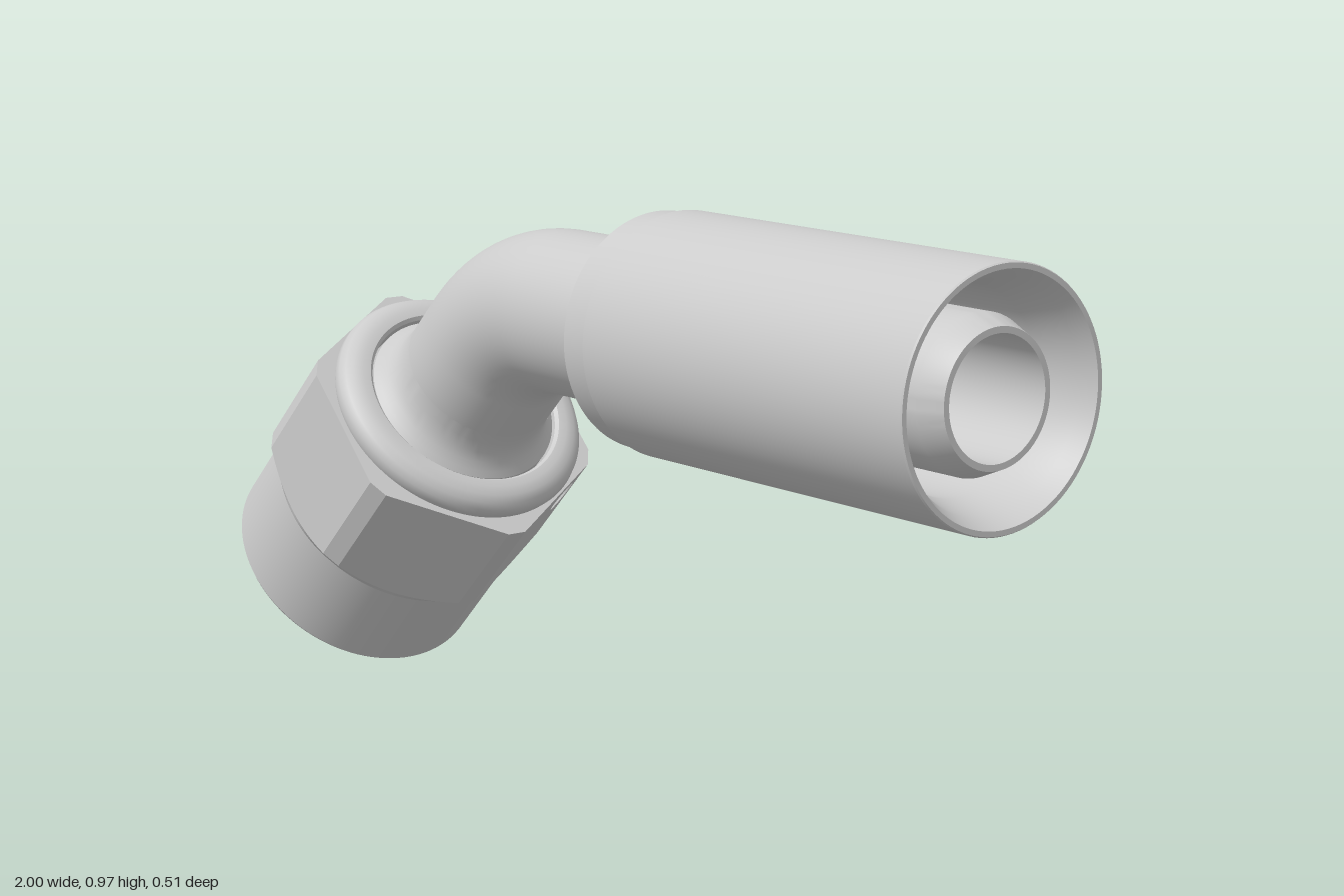
import * as THREE from 'three';
import { toCreasedNormals } from 'three/addons/utils/BufferGeometryUtils.js';

const grey = new THREE.MeshStandardMaterial({ color: 0xcccccc, side: THREE.DoubleSide });
const inside = new THREE.MeshStandardMaterial({ color: 0xcccccc, side: THREE.BackSide });
const deg = Math.PI / 180;

function part(name, geometry, material = grey) {
  const mesh = new THREE.Mesh(geometry, material);
  mesh.name = name;
  return mesh;
}

// Surface of revolution from [radius, height] pairs, sharp edges kept
function turned(name, profile, segments = 96) {
  const points = profile.map(([r, y]) => new THREE.Vector2(r, y));
  return part(name, toCreasedNormals(new THREE.LatheGeometry(points, segments), 0.5));
}

// Nut frame: origin at its open end, axis rising at 45 degrees
const nutOrigin = new THREE.Vector3(-0.8225, 0.1775, 0);
const onNutAxis = (s) => nutOrigin.clone().add(new THREE.Vector3(s, s, 0).multiplyScalar(Math.SQRT1_2));

// Centre line of the elbow: straight, 45 degree bend, straight
function elbowPath(nutEnd, hoseEnd) {
  const y = 0.757, bendStart = onNutAxis(0.696), bendEnd = new THREE.Vector3(-0.119, y, 0);
  const handle = 0.0796;
  const path = new THREE.CurvePath();
  path.add(new THREE.LineCurve3(onNutAxis(nutEnd), bendStart));
  path.add(new THREE.CubicBezierCurve3(
    bendStart, onNutAxis(0.696 + handle), new THREE.Vector3(bendEnd.x - handle, y, 0), bendEnd));
  path.add(new THREE.LineCurve3(bendEnd, new THREE.Vector3(hoseEnd, y, 0)));
  return path;
}

// Hexagon with truncated corners, wavy lower chamfer and a small drilled hole
const apothem = 0.254, cornerR = 0.283, hexTop = 0.48;
const halfFlat = Math.acos(apothem / cornerR);
const lowerEdge = (r) => 0.22 + (r - apothem) * 0.95;

function hexSection() {
  const group = new THREE.Group();
  group.name = 'nutHexagon';
  const steps = 16, columns = [];
  for (let k = 0; k <= 6; k++) {
    for (let i = 0; i <= steps; i++) {
      const a = halfFlat * (2 * i / steps - 1);
      columns.push({ angle: (30 + 60 * k) * deg + a, r: apothem / Math.cos(a), flat: k, last: i === steps });
    }
  }
  columns.length = 6 * (steps + 1) + 1;
  const at = (c, r, y) => [r * Math.cos(c.angle), y, -r * Math.sin(c.angle)];
  const rows = (c) => [at(c, 0.25, 0.208), at(c, c.r, lowerEdge(c.r)), at(c, c.r, hexTop), at(c, 0.235, hexTop)];
  const positions = [];
  for (let i = 0; i < columns.length - 1; i++) {
    const p = rows(columns[i]), q = rows(columns[i + 1]);
    for (let j = 0; j < 3; j++) {
      // the drilled flat is made separately below
      if (j === 1 && columns[i].flat === 0 && !columns[i].last) continue;
      positions.push(...p[j], ...q[j], ...q[j + 1], ...p[j], ...q[j + 1], ...p[j + 1]);
    }
  }
  const geometry = new THREE.BufferGeometry();
  geometry.setAttribute('position', new THREE.Float32BufferAttribute(positions, 3));
  group.add(part('hexagonFaces', toCreasedNormals(geometry, 0.25)));

  // Flat with the hole
  const outline = [];
  for (let i = 0; i <= steps; i++) {
    const a = halfFlat * (2 * i / steps - 1);
    outline.push(new THREE.Vector2(apothem * Math.tan(a), lowerEdge(apothem / Math.cos(a))));
  }
  const w = apothem * Math.tan(halfFlat);
  outline.push(new THREE.Vector2(w, hexTop), new THREE.Vector2(-w, hexTop));
  const shape = new THREE.Shape(outline);
  const holeX = 0.073, holeY = 0.42, holeR = 0.035;
  shape.holes.push(new THREE.Path().absarc(holeX, holeY, holeR, 0, Math.PI * 2, true));
  const drilled = new THREE.Group();
  drilled.name = 'drilledFlat';
  const face = part('flatWithHole', new THREE.ShapeGeometry(shape, 16));
  face.position.z = apothem;
  const pit = turned('drilledHole', [[holeR, 0], [holeR, -0.06], [0, -0.075]], 32);
  pit.rotation.x = Math.PI / 2;
  pit.position.set(holeX, holeY, apothem);
  drilled.add(face, pit);
  drilled.rotation.y = 120 * deg;
  group.add(drilled);
  return group;
}

export function createModel() {
  const model = new THREE.Group();
  model.name = 'elbowHoseFitting';

  // Swivel nut with the seat of the tube inside it
  const nut = new THREE.Group();
  nut.name = 'swivelNut';
  nut.position.copy(nutOrigin);
  nut.rotation.z = -45 * deg;
  nut.add(
    turned('nutSkirt', [[0.15, 0.36], [0.225, 0.29], [0.225, 0.025], [0.24, 0], [0.247, 0],
      [0.251, 0.006], [0.251, 0.208]]),
    hexSection(),
    turned('nutLip', [[0.24, 0.48], [0.248, 0.487], [0.251, 0.497], [0.249, 0.51], [0.241, 0.522],
      [0.228, 0.531], [0.21, 0.535], [0.195, 0.534], [0.189, 0.528], [0.189, 0.5], [0.15, 0.5]]),
    turned('tubeSeat', [[0.104, 0.42], [0.104, 0.2], [0.118, 0.2], [0.15, 0.26], [0.15, 0.37]]),
    turned('tubeShoulder', [[0.185, 0.5], [0.185, 0.524], [0.176, 0.533], [0.165, 0.545],
      [0.156, 0.562], [0.151, 0.585], [0.15, 0.61]]),
  );
  model.add(nut);

  // Bent tube and its bore
  model.add(
    part('bentTube', new THREE.TubeGeometry(elbowPath(0.5, 0.2), 96, 0.15, 64)),
    part('tubeBore', new THREE.TubeGeometry(elbowPath(0.4, 0.985), 128, 0.104, 64), inside),
  );

  // Crimp sleeve, collar and inner nipple, turned about the x axis
  const hoseEnd = new THREE.Group();
  hoseEnd.name = 'hoseEnd';
  hoseEnd.position.y = 0.757;
  hoseEnd.rotation.z = -Math.PI / 2;
  hoseEnd.add(
    turned('collar', [[0.145, 0.14], [0.208, 0.14], [0.211, 0.143], [0.211, 0.202]]),
    turned('crimpSleeve', [[0.2, 0.202], [0.215, 0.202], [0.218, 0.205], [0.218, 0.997], [0.216, 1],
      [0.207, 1], [0.192, 0.97], [0.172, 0.9], [0.172, 0.3], [0.13, 0.3]]),
    turned('hoseNipple', [[0.133, 0.3], [0.133, 0.94], [0.115, 0.985], [0.104, 0.985]]),
  );
  model.add(hoseEnd);
  return model;
}
